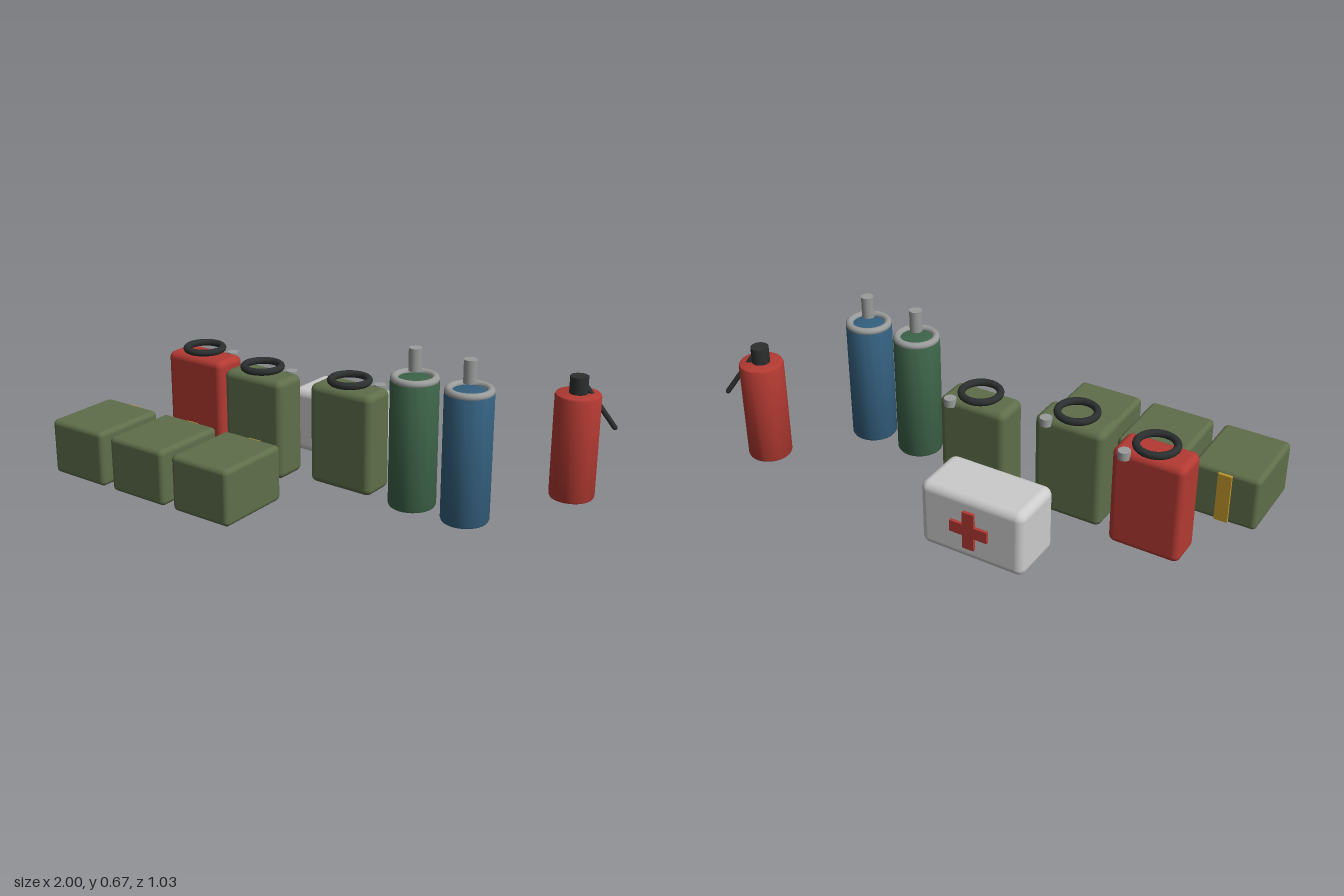
import * as THREE from 'three';
import { RoundedBoxGeometry } from 'three/addons/geometries/RoundedBoxGeometry.js';
import { toCreasedNormals } from 'three/addons/utils/BufferGeometryUtils.js';

const mat = (color) => new THREE.MeshStandardMaterial({ color });
const olive = mat(0x5f6e4a), red = mat(0xb33a32), white = mat(0xd2d6d4), grey = mat(0x999c9a);
const dark = mat(0x2c2f2f), yellow = mat(0xbd942c), green = mat(0x3d6449), blue = mat(0x34607f);

function add(parent, name, geometry, material, x = 0, y = 0, z = 0) {
  const mesh = new THREE.Mesh(geometry, material);
  mesh.name = name;
  mesh.position.set(x, y, z);
  parent.add(mesh);
  return mesh;
}

function group(parent, name, x, z) {
  const g = new THREE.Group();
  g.name = name;
  g.position.set(x, 0, z);
  parent.add(g);
  return g;
}

// Upright cylinder standing at y = bottom, with small bevelled rims
function bevelledCylinder(r, bottom, top, b) {
  const pts = [[0, bottom], [r - b, bottom], [r - b * 0.3, bottom + b * 0.3], [r, bottom + b],
    [r, top - b], [r - b * 0.3, top - b * 0.3], [r - b, top], [0, top]];
  const lathe = new THREE.LatheGeometry(pts.map(([x, y]) => new THREE.Vector2(x, y)), 32);
  return toCreasedNormals(lathe, 0.6);
}

function flatRing(R, r) {
  return new THREE.TorusGeometry(R, r, 12, 36).rotateX(Math.PI / 2);
}

// Fuel can: rounded body, floating ring handle and a cap at the back corner
function fuelCan(parent, x, z, material) {
  const g = group(parent, 'fuelCan', x, z);
  add(g, 'canBody', new RoundedBoxGeometry(0.29, 0.417, 0.148, 4, 0.028), material, 0, 0.2185, 0);
  add(g, 'canHandle', flatRing(0.075, 0.0145), dark, 0, 0.45, 0);
  add(g, 'canCap', new THREE.CylinderGeometry(0.024, 0.024, 0.032, 20), grey, 0.094, 0.416, -0.07);
}

// Supply crate with a strap down its back
function crate(parent, x) {
  const g = group(parent, 'crate', x, 0.356);
  add(g, 'crateBody', new RoundedBoxGeometry(0.275, 0.229, 0.326, 4, 0.02), olive, 0, 0.1245, 0);
  add(g, 'crateStrap', new THREE.BoxGeometry(0.055, 0.208, 0.022), yellow, 0, 0.124, -0.163);
}

// Gas bottle: body, shoulder ring and a valve above it
function gasBottle(parent, x, material) {
  const g = group(parent, 'gasBottle', x, -0.005);
  add(g, 'bottleBody', bevelledCylinder(0.092, 0.045, 0.553, 0.011), material);
  add(g, 'bottleRing', flatRing(0.077, 0.015), grey, 0, 0.552, 0);
  add(g, 'bottleValve', new THREE.CylinderGeometry(0.025, 0.025, 0.088, 20), grey, 0, 0.626, 0);
}

// Medical case with a cross on its back
function medicalCase(parent) {
  const g = group(parent, 'medicalCase', -0.167, -0.384);
  add(g, 'caseBody', new RoundedBoxGeometry(0.44, 0.278, 0.233, 5, 0.034), white, 0, 0.141, 0);
  add(g, 'crossBarAcross', new THREE.BoxGeometry(0.16, 0.048, 0.024), red, 0.002, 0.142, -0.117);
  add(g, 'crossBarUpright', new THREE.BoxGeometry(0.048, 0.16, 0.024), red, 0.002, 0.142, -0.117);
}

// Extinguisher: body, neck and a slanted lever
function extinguisher(parent) {
  const g = group(parent, 'extinguisher', 0.866, -0.384);
  add(g, 'extinguisherBody', bevelledCylinder(0.087, 0.068, 0.486, 0.01), red);
  add(g, 'extinguisherNeck', new THREE.CylinderGeometry(0.035, 0.035, 0.076, 24), dark, 0, 0.514, 0);
  const a = new THREE.Vector3(0.027, 0.505, -0.018), b = new THREE.Vector3(0.122, 0.352, -0.074);
  const dir = b.clone().sub(a);
  const lever = add(g, 'extinguisherLever', new THREE.CapsuleGeometry(0.01, dir.length(), 5, 12), dark);
  lever.position.copy(a).add(b).multiplyScalar(0.5);
  lever.quaternion.setFromUnitVectors(new THREE.Vector3(0, 1, 0), dir.normalize());
}

export function createModel() {
  const model = new THREE.Group();
  model.name = 'supplies';
  for (const x of [-0.863, -0.543, -0.222]) crate(model, x);
  fuelCan(model, -0.689, -0.07, red);
  fuelCan(model, -0.34, -0.02, olive);
  fuelCan(model, 0.04, -0.088, olive);
  gasBottle(model, 0.389, green);
  gasBottle(model, 0.62, blue);
  medicalCase(model);
  extinguisher(model);
  return model;
}
